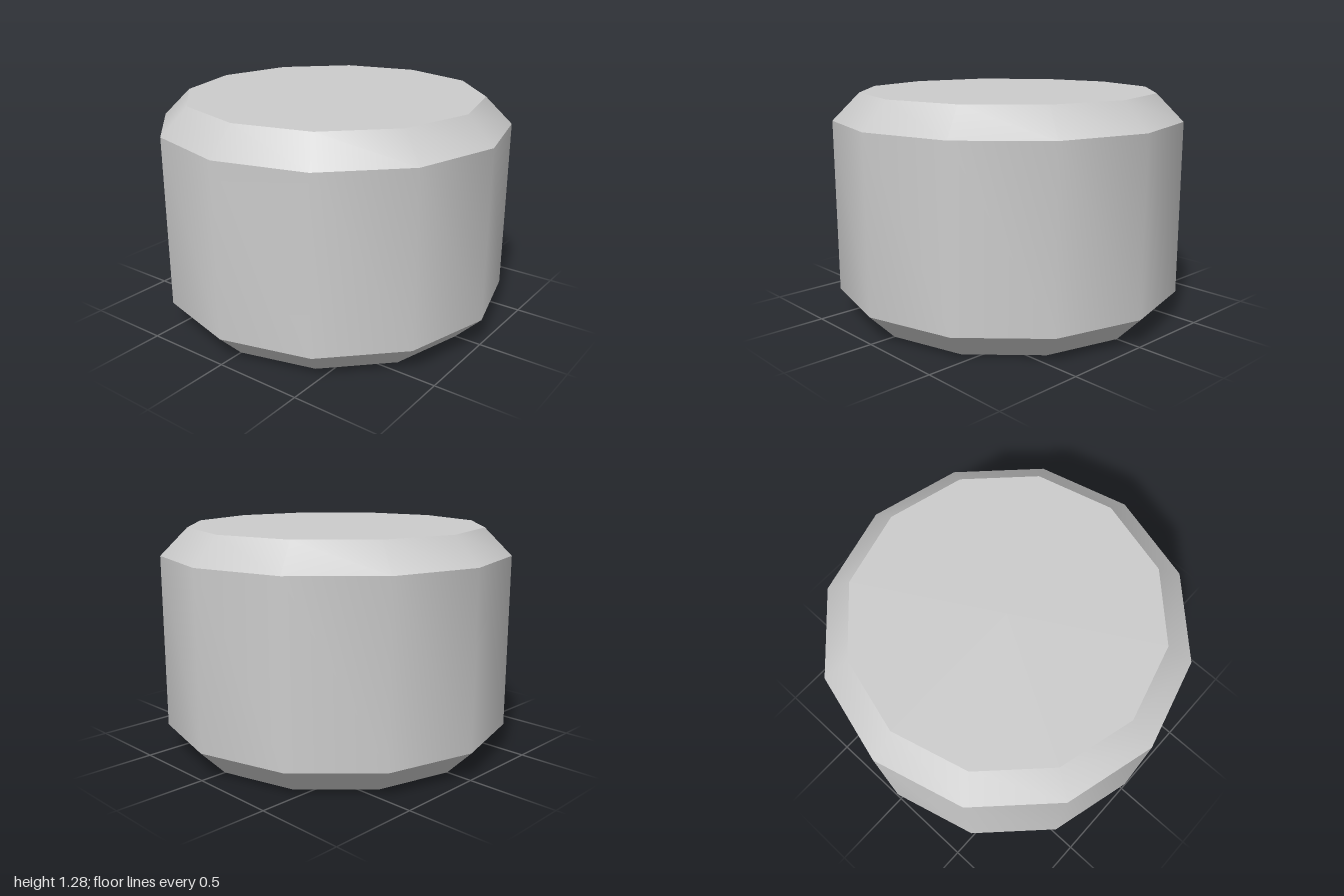
import * as THREE from 'three';
import { toCreasedNormals } from 'three/addons/utils/BufferGeometryUtils.js';

const SIDES = 12;
const RADIUS = 1;
const HEIGHT = 1.28;
const CHAMFER = 0.152;

export function createModel() {
  const group = new THREE.Group();
  group.name = 'chamferedDrum';

  // Half outline of the drum, from bottom centre to top centre
  const profile = [
    [0, 0],
    [RADIUS - CHAMFER, 0],
    [RADIUS, CHAMFER],
    [RADIUS, HEIGHT - CHAMFER],
    [RADIUS - CHAMFER, HEIGHT],
    [0, HEIGHT],
  ].map(([r, y]) => new THREE.Vector2(r, y));

  // Smooth around the twelve sides, sharp at the chamfer rims
  const geometry = toCreasedNormals(new THREE.LatheGeometry(profile, SIDES), 0.6);
  const drum = new THREE.Mesh(geometry, new THREE.MeshStandardMaterial({ color: 0xcccccc }));
  drum.name = 'drumBody';
  group.add(drum);

  return group;
}
